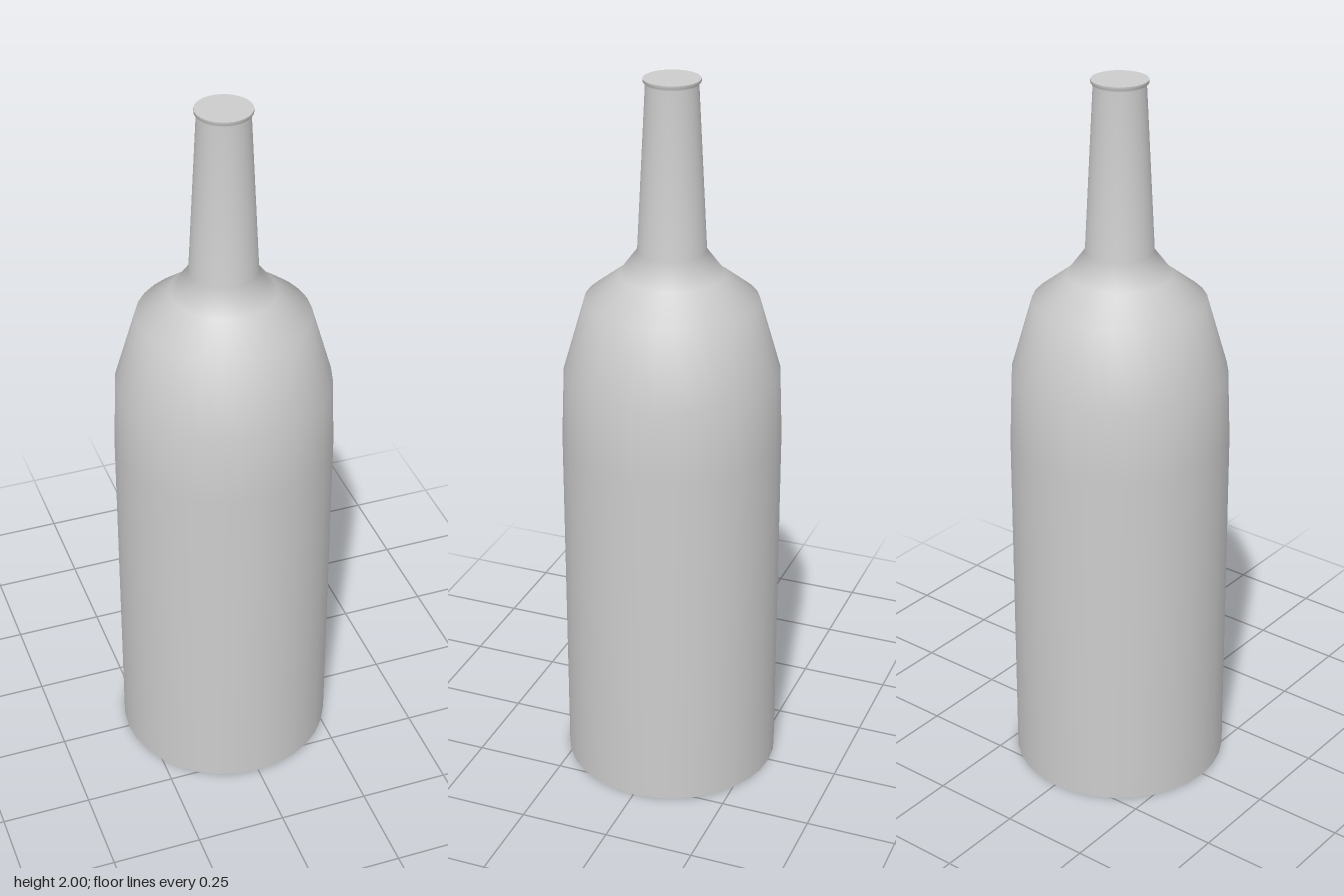
import * as THREE from 'three';

const SIDES = 32;

export function createModel() {
  const group = new THREE.Group();
  group.name = 'bottle';
  const material = new THREE.MeshStandardMaterial({ color: 0xcccccc });

  const add = (name, geometry) => {
    const mesh = new THREE.Mesh(geometry, material);
    mesh.name = name;
    group.add(mesh);
    return mesh;
  };

  // Body, shoulder, neck and small lip as one smooth turned wall
  const profile = [
    [0.3, 0], [0.3, 1.0], [0.292, 1.2], [0.234, 1.4], [0.14, 1.473],
    [0.092, 1.537], [0.069, 1.985], [0.075, 1.992], [0.075, 2.0],
  ].map(([r, y]) => new THREE.Vector2(r, y));
  add('bottleWall', new THREE.LatheGeometry(profile, SIDES));

  // Flat discs closing the mouth and the base
  const top = add('mouthCap', new THREE.CircleGeometry(0.075, SIDES));
  top.rotation.x = -Math.PI / 2;
  top.position.y = 2;

  const base = add('base', new THREE.CircleGeometry(0.3, SIDES));
  base.rotation.x = Math.PI / 2;

  return group;
}
